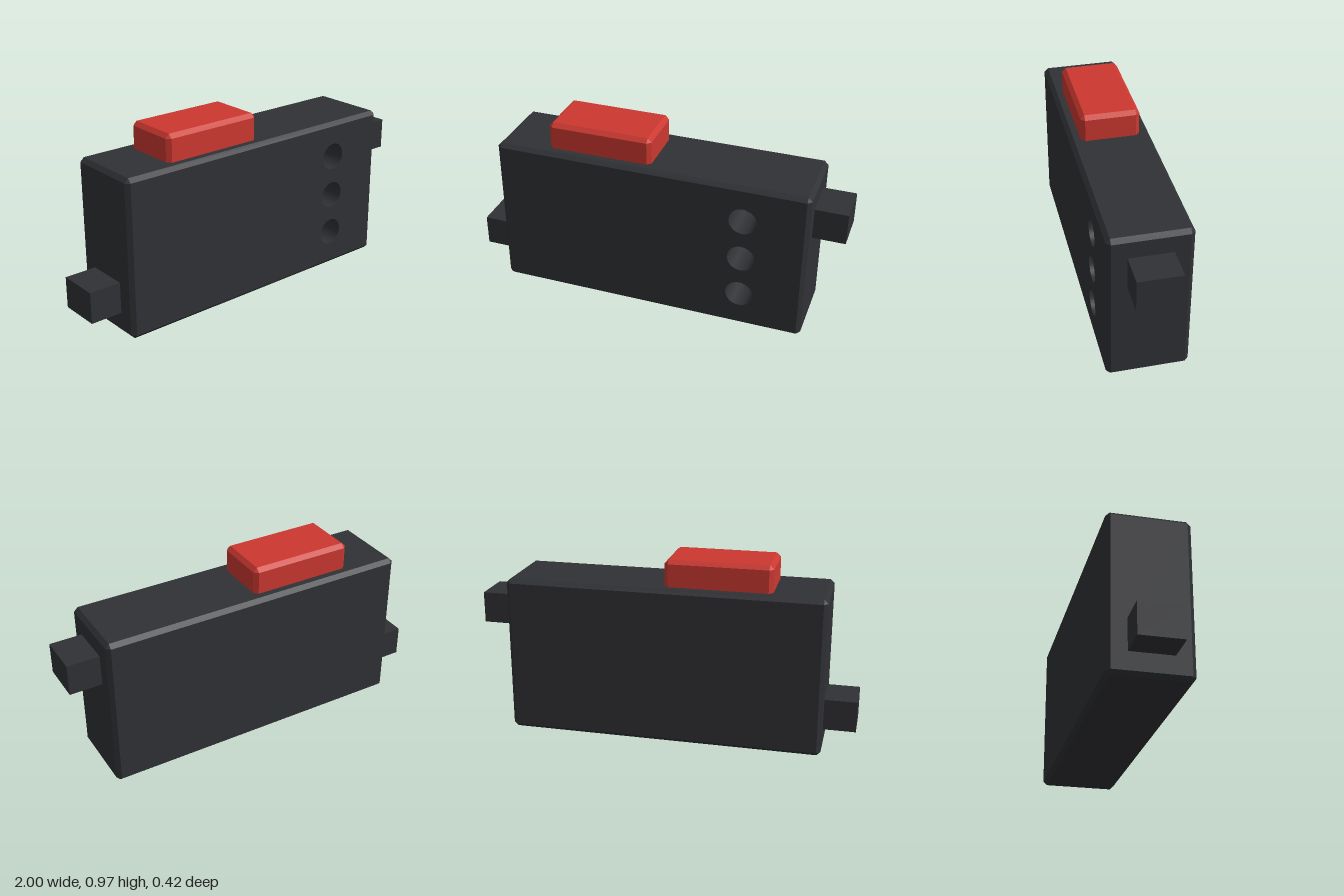
import * as THREE from 'three';
import { ConvexGeometry } from 'three/addons/geometries/ConvexGeometry.js';

const W = 0.832, H = 0.833, D = 0.208, BEVEL = 0.021;
const HOLE = { x: 0.5, r: 0.072, depth: 0.2, ys: [0.197, 0.418, 0.64] };

const dark = new THREE.MeshStandardMaterial({ color: 0x303135 });
const darkInside = new THREE.MeshStandardMaterial({ color: 0x303135, side: THREE.DoubleSide });
const red = new THREE.MeshStandardMaterial({ color: 0xcc3830 });

// Box with every edge and corner cut by b, centred on the origin (half sizes)
function chamferedBox(hx, hy, hz, b) {
  const points = [];
  for (const x of [-1, 1]) for (const y of [-1, 1]) for (const z of [-1, 1]) {
    points.push(
      new THREE.Vector3(x * hx, y * (hy - b), z * (hz - b)),
      new THREE.Vector3(x * (hx - b), y * hy, z * (hz - b)),
      new THREE.Vector3(x * (hx - b), y * (hy - b), z * hz));
  }
  return new ConvexGeometry(points);
}

// Drops the triangles lying on the plane z = zMax
function withoutFront(geometry, zMax) {
  const p = geometry.attributes.position, n = geometry.attributes.normal;
  const pos = [], nor = [];
  for (let i = 0; i < p.count; i += 3) {
    if ([0, 1, 2].every(k => p.getZ(i + k) > zMax - 1e-5)) continue;
    for (let k = i; k < i + 3; k++) {
      pos.push(p.getX(k), p.getY(k), p.getZ(k));
      nor.push(n.getX(k), n.getY(k), n.getZ(k));
    }
  }
  const out = new THREE.BufferGeometry();
  out.setAttribute('position', new THREE.Float32BufferAttribute(pos, 3));
  out.setAttribute('normal', new THREE.Float32BufferAttribute(nor, 3));
  return out;
}

function add(parent, name, geometry, material, x, y, z) {
  const mesh = new THREE.Mesh(geometry, material);
  mesh.name = name;
  mesh.position.set(x, y, z);
  parent.add(mesh);
  return mesh;
}

export function createModel() {
  const model = new THREE.Group();
  model.name = 'switchBox';

  // Housing: chamfered shell, with a front panel pierced by three holes
  const housing = new THREE.Group();
  housing.name = 'housing';
  model.add(housing);
  add(housing, 'shell', withoutFront(chamferedBox(W, H / 2, D, BEVEL), D), dark, 0, H / 2, 0);

  const x = W - BEVEL;
  const panel = new THREE.Shape([
    new THREE.Vector2(-x, BEVEL), new THREE.Vector2(x, BEVEL),
    new THREE.Vector2(x, H - BEVEL), new THREE.Vector2(-x, H - BEVEL)]);
  for (const y of HOLE.ys) {
    panel.holes.push(new THREE.Path().absarc(HOLE.x, y, HOLE.r, 0, Math.PI * 2, true));
  }
  add(housing, 'frontPanel', new THREE.ShapeGeometry(panel, 24), dark, 0, 0, D);

  // Blind holes: smooth bore and flat floor
  for (const y of HOLE.ys) {
    const bore = new THREE.CylinderGeometry(HOLE.r, HOLE.r, HOLE.depth, 48, 1, true);
    bore.rotateX(Math.PI / 2);
    add(housing, 'holeBore', bore, darkInside, HOLE.x, y, D - HOLE.depth / 2);
    add(housing, 'holeFloor', new THREE.CircleGeometry(HOLE.r, 48), dark, HOLE.x, y, D - HOLE.depth);
  }

  // Push button, sunk into the top
  add(model, 'button', chamferedBox(0.277, 0.1, 0.153, BEVEL), red, -0.278, 0.873, 0);

  // End lugs: low on the right, high on the left
  for (const [name, side, y] of [['rightLug', -1, 0.196], ['leftLug', 1, 0.641]]) {
    add(model, name, new THREE.BoxGeometry(0.2, 0.164, 0.22), dark, side * 0.9, y, 0);
  }
  return model;
}
